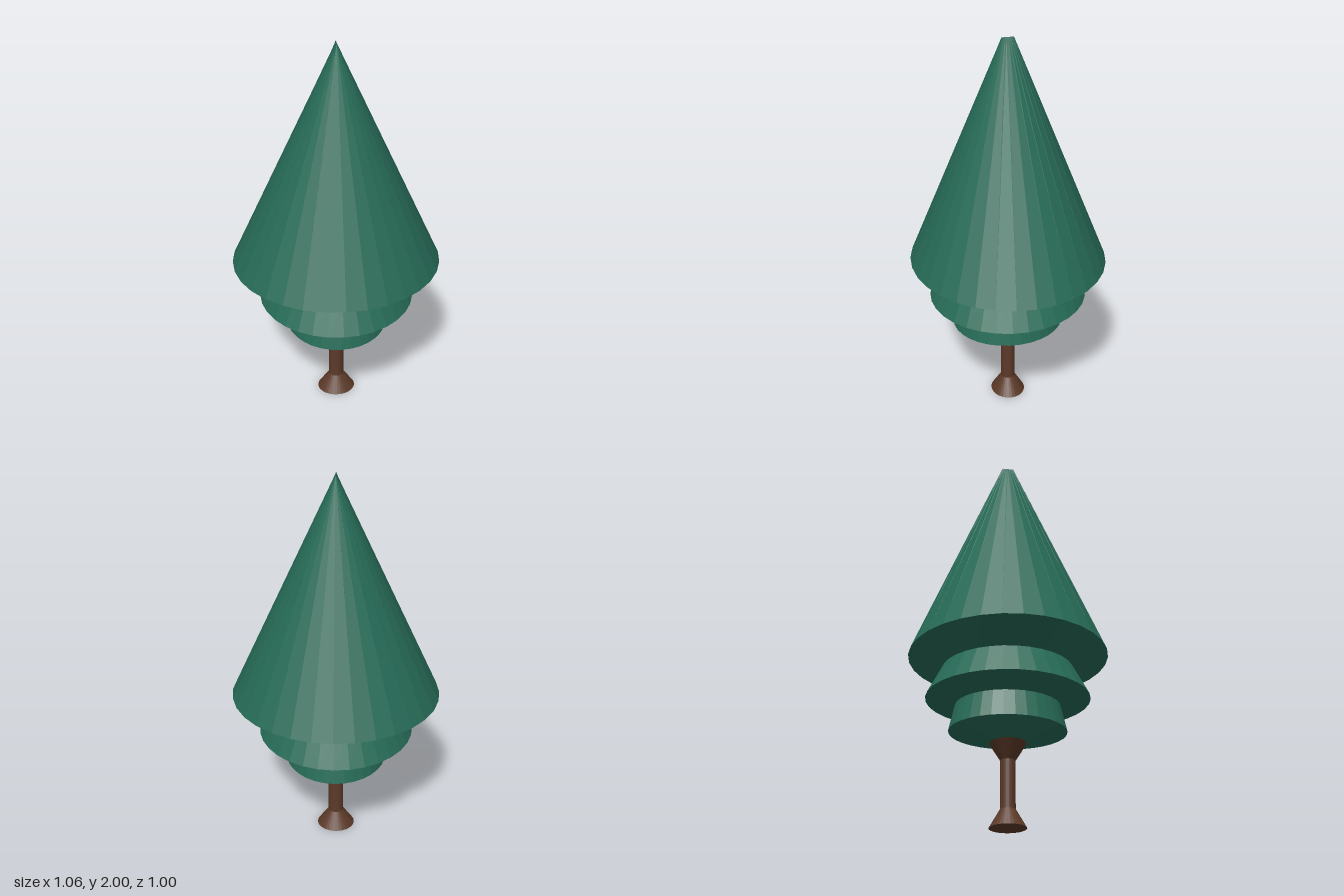
import * as THREE from 'three';

const SIDES = 32;

// Skin a stack of elliptical rings [y, radiusX, radiusZ], listed bottom to top.
function loft(rings) {
  const positions = [];
  const index = [];
  for (const [y, rx, rz] of rings) {
    for (let i = 0; i < SIDES; i++) {
      const a = (i / SIDES) * Math.PI * 2;
      positions.push(rx * Math.cos(a), y, -rz * Math.sin(a));
    }
  }
  for (let r = 0; r < rings.length - 1; r++) {
    for (let i = 0; i < SIDES; i++) {
      const j = (i + 1) % SIDES;
      const a = r * SIDES + i, b = r * SIDES + j;
      index.push(a, b, b + SIDES, a, b + SIDES, a + SIDES);
    }
  }
  // Close both ends with fans
  const bottom = positions.length / 3;
  const last = rings.length - 1;
  positions.push(0, rings[0][0], 0, 0, rings[last][0], 0);
  for (let i = 0; i < SIDES; i++) {
    const j = (i + 1) % SIDES;
    index.push(bottom, j, i, bottom + 1, last * SIDES + i, last * SIDES + j);
  }
  const geometry = new THREE.BufferGeometry();
  geometry.setAttribute('position', new THREE.Float32BufferAttribute(positions, 3));
  geometry.setIndex(index);
  geometry.computeVertexNormals();
  return geometry;
}

function part(name, rings, color) {
  const material = new THREE.MeshStandardMaterial({ color, flatShading: true });
  const mesh = new THREE.Mesh(loft(rings), material);
  mesh.name = name;
  return mesh;
}

export function createModel() {
  const tree = new THREE.Group();
  tree.name = 'tree';

  // Trunk with flared foot and flared top
  tree.add(part('trunk', [
    [0, 0.1, 0.09],
    [0.09, 0.04, 0.037],
    [0.325, 0.04, 0.037],
    [0.41, 0.1, 0.09],
  ], 0x5c3a28));

  // Three stepped tiers, the tallest ending in a short ridge along z
  tree.add(part('foliage', [
    [0.41, 0.1, 0.09],
    [0.466, 0.264, 0.29],
    [0.598, 0.238, 0.26],
    [0.633, 0.4, 0.407],
    [0.788, 0.317, 0.328],
    [0.85, 0.532, 0.499],
    [2, 0, 0.03],
  ], 0x276b57));

  return tree;
}
